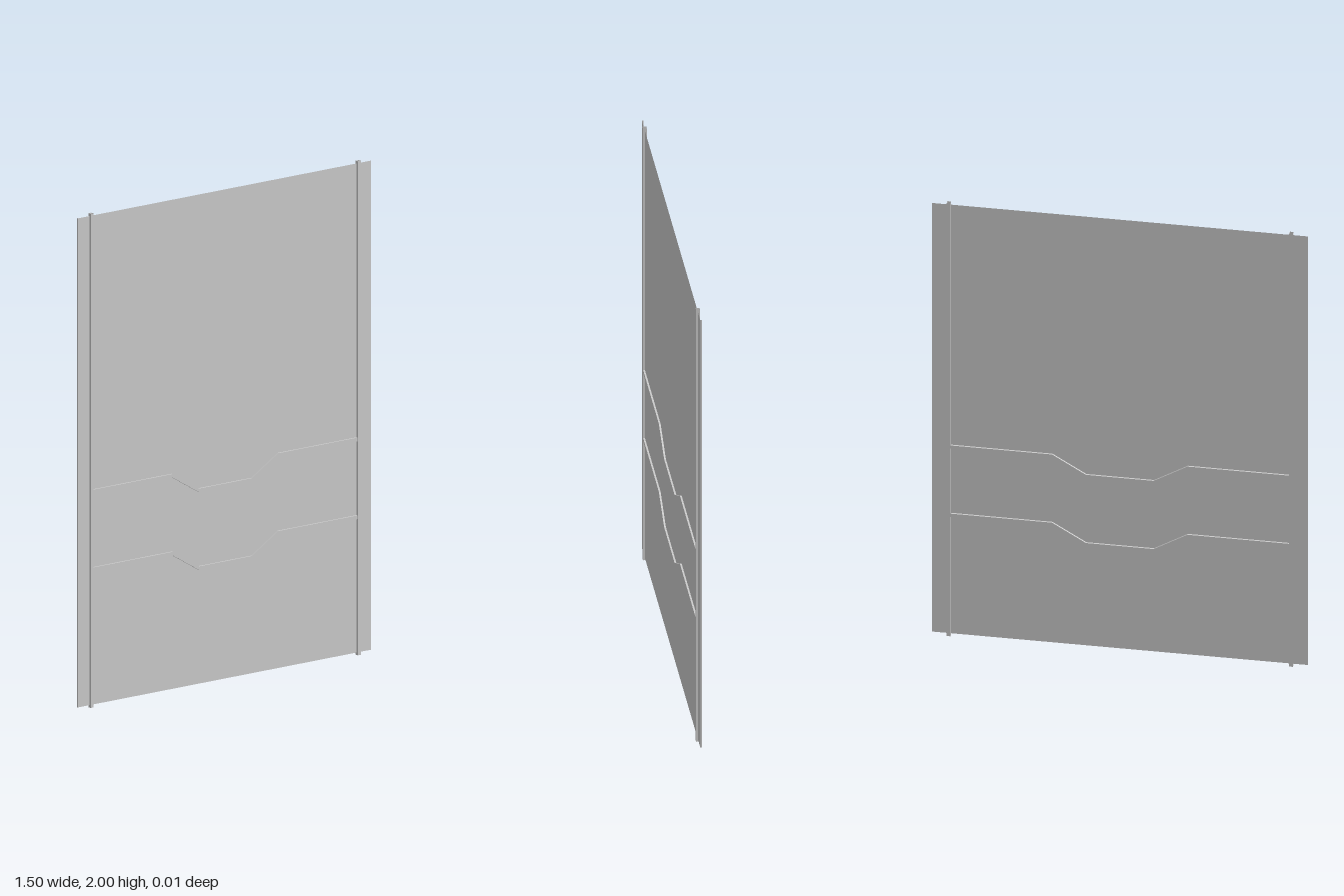
import * as THREE from 'three';

export function createModel() {
  const model = new THREE.Group();
  const material = new THREE.MeshStandardMaterial({ color: 0xcccccc, side: THREE.DoubleSide, flatShading: true });
  const add = (name, geometry, x = 0, y = 0, z = 0) => {
    const mesh = new THREE.Mesh(geometry, material);
    mesh.name = name;
    mesh.position.set(x, y, z);
    model.add(mesh);
    return mesh;
  };

  // thin sheet
  add('panel', new THREE.PlaneGeometry(1.5, 1.98), 0, 1, 0);

  // edge lips and open-ended square vertical bars
  for (const [side, s] of [['left', 1], ['right', -1]]) {
    add(side + 'EdgeLip', new THREE.PlaneGeometry(0.007, 1.98).rotateY(Math.PI / 2), s * 0.75, 1, -0.0035);
    const bar = new THREE.CylinderGeometry(0.0106, 0.0106, 2, 4, 1, true).rotateY(Math.PI / 4);
    add(side + 'Bar', bar, s * 0.683, 1, 0);
  }

  // horizontal ribs with a dip in the middle
  const path = [[-0.675, 0], [-0.27, 0], [-0.135, -0.08], [0.135, -0.08], [0.27, 0], [0.675, 0]];
  const half = 0.0075;
  const ribShape = new THREE.Shape([
    ...path.map(([x, y]) => new THREE.Vector2(x, y + half)),
    ...path.map(([x, y]) => new THREE.Vector2(x, y - half)).reverse(),
  ]);
  for (const [name, y] of [['upperRib', 0.874], ['lowerRib', 0.559]]) {
    const rib = new THREE.ExtrudeGeometry(ribShape, { depth: 0.014, bevelEnabled: false });
    add(name, rib, 0, y, -0.007);
  }
  return model;
}
